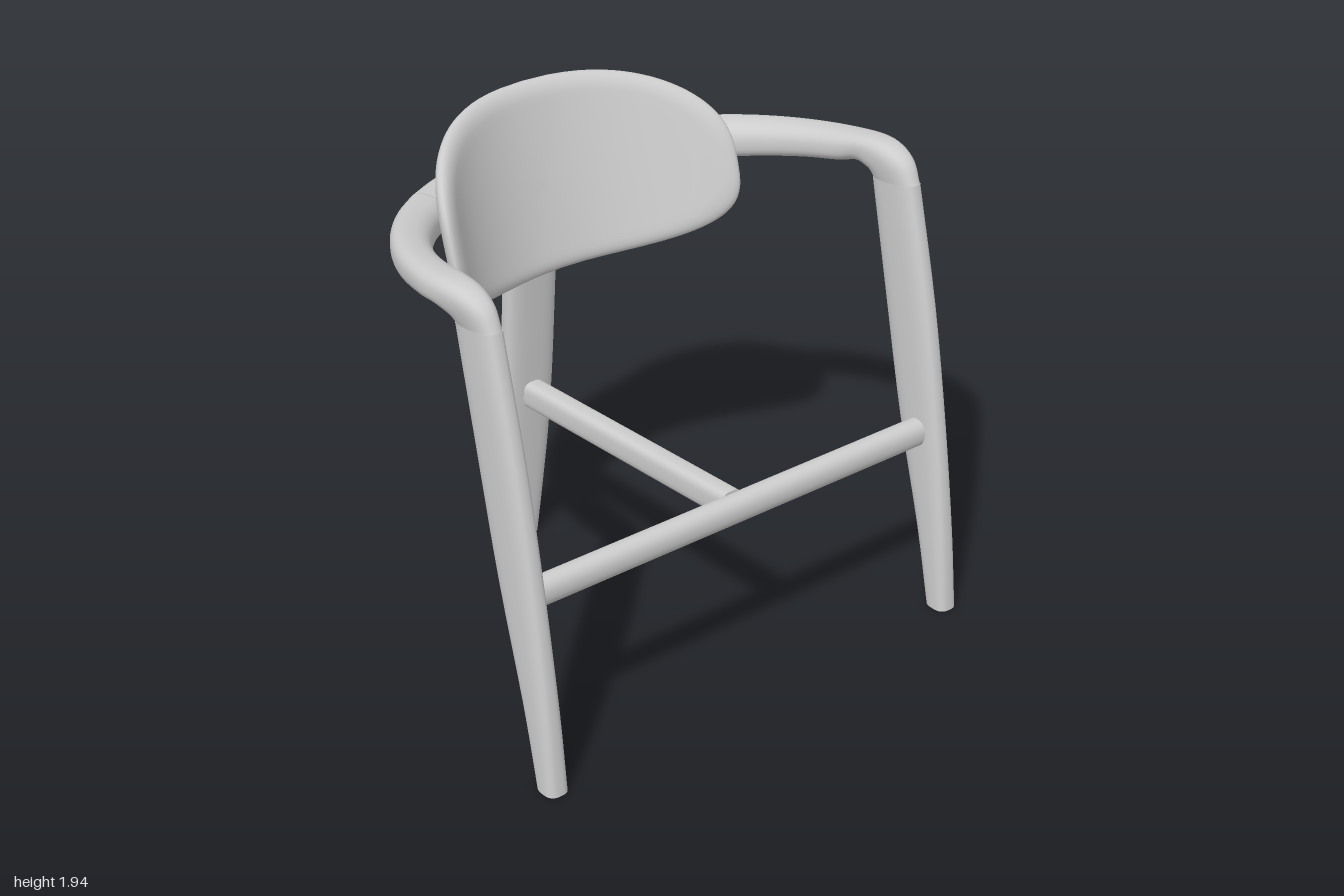
import * as THREE from 'three';

const V = (x, y, z) => new THREE.Vector3(x, y, z);
const spow = (v, p) => Math.sign(v) * Math.abs(v) ** p;

// Station: centre c, half axes a and b of a superellipse section.
const station = (c, a, b) => ({ c, a, b });
const mirror = (list) => list.map((s) => {
  const f = (v) => V(-v.x, v.y, v.z);
  return station(f(s.c), f(s.a), f(s.b));
});

// Closed, capped loft through smoothly interpolated stations.
function loft(stations, n = 2.5, steps = 4, sides = 32) {
  const curve = (k) => new THREE.CatmullRomCurve3(stations.map((s) => s[k]), false, 'catmullrom', 0.5);
  const C = curve('c'), A = curve('a'), B = curve('b');
  const rows = (stations.length - 1) * steps;
  const pos = [], idx = [];
  const axis = stations[1].c.clone().sub(stations[0].c);
  const flip = stations[0].a.clone().cross(stations[0].b).dot(axis) < 0;
  const tri = (p, q, r) => (flip ? idx.push(p, r, q) : idx.push(p, q, r));
  const ring = (t) => {
    const c = C.getPoint(t), a = A.getPoint(t), b = B.getPoint(t);
    for (let j = 0; j < sides; j++) {
      const w = (j / sides) * Math.PI * 2;
      const p = c.clone().addScaledVector(a, spow(Math.cos(w), 2 / n)).addScaledVector(b, spow(Math.sin(w), 2 / n));
      pos.push(p.x, p.y, p.z);
    }
    return c;
  };
  for (let i = 0; i <= rows; i++) ring(i / rows);
  for (let i = 0; i < rows; i++) {
    for (let j = 0; j < sides; j++) {
      const k = (j + 1) % sides, p = i * sides, q = p + sides;
      tri(p + j, p + k, q + k);
      tri(p + j, q + k, q + j);
    }
  }
  for (const end of [0, 1]) {
    const base = pos.length / 3;
    const c = ring(end);
    pos.push(c.x, c.y, c.z);
    for (let j = 0; j < sides; j++) {
      const k = (j + 1) % sides;
      if (end) tri(base + j, base + k, base + sides);
      else tri(base + k, base + j, base + sides);
    }
  }
  return finish(pos, idx);
}

function finish(pos, idx) {
  const g = new THREE.BufferGeometry();
  g.setAttribute('position', new THREE.Float32BufferAttribute(pos, 3));
  g.setIndex(idx);
  g.computeVertexNormals();
  return g;
}

// Section spanning two points (z, y) in the side plane.
const sideStation = (x, hw, zf, yf, zb, yb) => station(
  V(x, (yf + yb) / 2, (zf + zb) / 2), V(hw, 0, 0), V(0, (yf - yb) / 2, (zf - zb) / 2));

// Section of the horseshoe rail at an angle from +x.
function railStation(deg) {
  const t = THREE.MathUtils.degToRad(deg), cos = Math.cos(t), sin = Math.sin(t);
  const r = 0.9275, hw = 0.0725, z = 0.26 - r * sin;
  const k = Math.min(1, Math.min(deg, 180 - deg) / 35);
  const hb = 0.054 + 0.012 * k;
  return station(V(r * cos, 1.75 + 0.119 * z - hb, z), V(hw * cos, 0.014 * k, -hw * sin), V(0, hb, 0));
}
const railRange = (a, b, n) => Array.from({ length: n + 1 }, (_, i) => railStation(a + ((b - a) * i) / n));

// Bent, leaning pad with a superellipse outline and a rounded rim.
function backrestGeometry() {
  const R = 0.77, half = 0.034, hx = 0.643, hy = 0.337, cy = 1.607, seg = 96;
  const rings = [];
  const inset = 0.055;
  for (let i = 0; i < 12; i++) rings.push([i / 12, inset, half]);
  for (let i = 0; i <= 10; i++) {
    const w = (i / 10) * Math.PI;
    rings.push([1, inset * (1 - Math.sin(w)), half * Math.cos(w)]);
  }
  for (let i = 11; i >= 0; i--) rings.push([i / 12, inset, -half]);
  const pos = [], idx = [];
  for (const [s, ins, off] of rings) {
    for (let j = 0; j < seg; j++) {
      const w = (j / seg) * Math.PI * 2;
      const u = s * (hx - ins) * spow(Math.cos(w), 2 / 3);
      const v = s * (hy - ins) * spow(Math.sin(w), 2 / 3);
      const phi = Math.asin(u / R);
      pos.push((R - off) * Math.sin(phi), cy + v, -0.54 - 0.3 * v + R - (R - off) * Math.cos(phi));
    }
  }
  for (let i = 0; i < rings.length - 1; i++) {
    for (let j = 0; j < seg; j++) {
      const k = (j + 1) % seg, p = i * seg, q = p + seg;
      if (i > 0) idx.push(p + j, q + k, p + k);
      if (i < rings.length - 2) idx.push(p + j, q + j, q + k);
    }
  }
  return finish(pos, idx);
}

export function createModel() {
  const chair = new THREE.Group();
  chair.name = 'chair';
  const grey = new THREE.MeshStandardMaterial({ color: 0xcccccc });
  grey.name = 'light grey';
  const add = (name, geometry) => {
    const mesh = new THREE.Mesh(geometry, grey);
    mesh.name = name;
    chair.add(mesh);
    return mesh;
  };

  // Front legs, swept forward towards the floor
  const leg = [
    [0.76, 0, 0.66, 0], [0.727, 0.31, 0.582, 0.31], [0.663, 0.74, 0.455, 0.74],
    [0.575, 1.2, 0.347, 1.2], [0.46, 1.655, 0.25, 1.63],
  ].map((p) => sideStation(0.925, 0.045, ...p));
  add('leftFrontLeg', loft(leg, 2.8));
  add('rightFrontLeg', loft(mirror(leg), 2.8));

  // Arms: elbow rising from the leg, then the curved rail
  const arm = [
    sideStation(0.925, 0.045, 0.46, 1.655, 0.25, 1.63),
    sideStation(0.928, 0.055, 0.417, 1.727, 0.24, 1.645),
    sideStation(0.931, 0.063, 0.34, 1.768, 0.22, 1.656),
    sideStation(0.931, 0.068, 0.24, 1.777, 0.17, 1.664),
    ...railRange(10, 54.8, 5),
  ];
  add('leftArm', loft(arm));
  add('rightArm', loft(mirror(arm)));

  // Rear rail, separated from the arms by a fine seam
  add('backRail', loft(railRange(55.2, 124.8, 7)));

  // Back leg, flaring into the rail
  const backLeg = [[0, 0.055], [0.2, 0.076], [0.45, 0.098], [0.75, 0.11], [1.1, 0.113], [1.4, 0.115]]
    .map(([y, hw]) => sideStation(0, hw, -0.67 + 0.066 * y, y, -0.76 + 0.066 * y, y));
  backLeg.push(
    sideStation(0, 0.12, -0.57, 1.52, -0.66, 1.52),
    sideStation(0, 0.135, -0.57, 1.57, -0.69, 1.57),
    sideStation(0, 0.15, -0.58, 1.62, -0.72, 1.62));
  add('backLeg', loft(backLeg, 3));

  // Stretchers
  const bar = (x) => station(V(x, 0.71, 0.57), V(0, 0.055, 0), V(0, 0, 0.046));
  add('frontStretcher', loft([bar(-0.9), bar(0), bar(0.9)], 2.2));
  const rib = (z) => station(V(0, 0.69 + 0.046 * z, z), V(0.045, 0, 0), V(0, 0.055, 0));
  add('centreStretcher', loft([rib(0.55), rib(-0.05), rib(-0.68)], 3.2));

  add('backrest', backrestGeometry());
  return chair;
}
